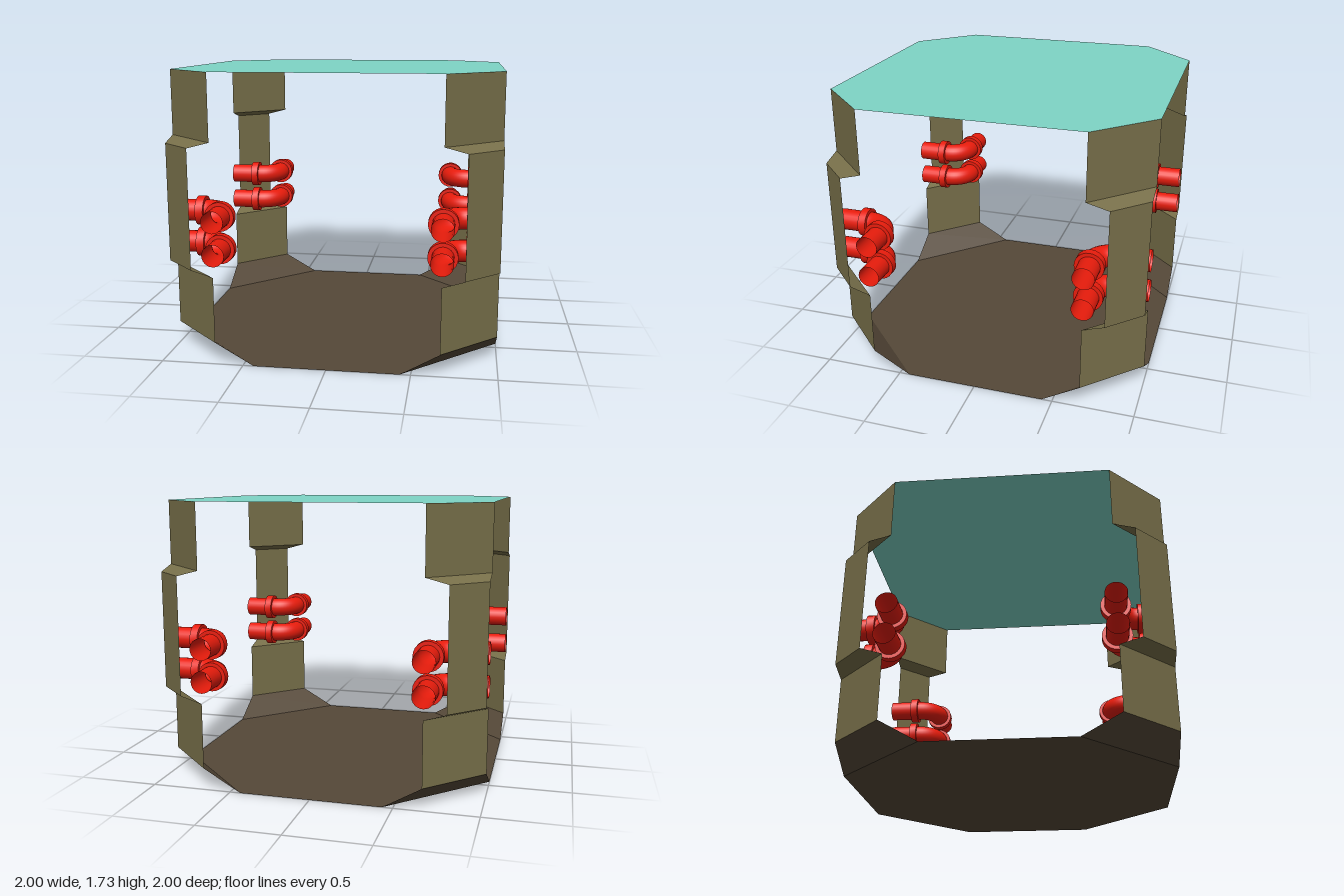
import * as THREE from 'three';
import { toCreasedNormals } from 'three/addons/utils/BufferGeometryUtils.js';

const paint = (color, flatShading = false) =>
  new THREE.MeshStandardMaterial({ color, flatShading, side: THREE.DoubleSide });

const mesh = (name, geometry, material) => {
  const m = new THREE.Mesh(geometry, material);
  m.name = name;
  return m;
};

// Flat 2 x 2 plate whose corners are cut off at c
function octagon(c, y) {
  const points = [[1, -c], [1, c], [c, 1], [-c, 1], [-c, -1], [-1, -c]];
  points.splice(4, 2, [-1, c], [-1, -c], [-c, -1], [c, -1]);
  const shape = new THREE.Shape(points.map(([x, z]) => new THREE.Vector2(x, z)));
  return new THREE.ShapeGeometry(shape).rotateX(-Math.PI / 2).translate(0, y, 0);
}

// Thin panel across a corner; each profile row is [corner cut, height]
function cornerStrip(profile) {
  const positions = [];
  for (let i = 0; i + 1 < profile.length; i++) {
    const [c0, y0] = profile[i], [c1, y1] = profile[i + 1];
    const a = [c0, y0, 1], b = [1, y0, c0], c = [1, y1, c1], d = [c1, y1, 1];
    positions.push(...a, ...b, ...c, ...a, ...c, ...d);
  }
  const g = new THREE.BufferGeometry();
  g.setAttribute('position', new THREE.Float32BufferAttribute(positions, 3));
  g.computeVertexNormals();
  return g;
}

// Bent pipe with a flange and an open straight end on both sides
function elbowPipe(material) {
  const pipe = new THREE.Group();
  pipe.name = 'elbowPipe';
  const axis = 0.667, start = 0.8, radius = 0.067, bendRadius = start - axis;

  const bend = new THREE.TorusGeometry(bendRadius, radius, 24, 14, Math.PI / 2)
    .rotateZ(Math.PI).rotateX(Math.PI / 2).translate(start, 0, start);
  pipe.add(mesh('pipeBend', bend, material));

  const tube = new THREE.CylinderGeometry(radius, radius, 1 - start, 24, 1, true)
    .translate(0, (1 - start) / 2, 0);
  const ring = [[radius, 0], [0.09, 0], [0.09, 0.05], [radius, 0.05]]
    .map(([r, y]) => new THREE.Vector2(r, y));
  const flange = toCreasedNormals(new THREE.LatheGeometry(ring, 24), 0.7);

  for (const alongX of [false, true]) {
    const end = new THREE.Group();
    end.name = 'pipeEnd';
    end.add(mesh('pipeTube', tube, material), mesh('pipeFlange', flange, material));
    if (alongX) {
      end.rotation.z = -Math.PI / 2;
      end.position.set(start, 0, axis);
    } else {
      end.rotation.x = Math.PI / 2;
      end.position.set(axis, 0, start);
    }
    pipe.add(end);
  }
  return pipe;
}

export function createModel() {
  const model = new THREE.Group();
  model.name = 'octagonalRoom';
  const olive = paint(0x78704a, true);
  const brown = paint(0x554838, true);
  const teal = paint(0x7ed4c5, true);
  const red = paint(0xe81c0c);

  // Floor and roof plates
  model.add(mesh('floor', octagon(0.435, 0), brown));
  model.add(mesh('roof', octagon(0.667, 1.733), teal));

  // Corner post, recessed outward in the middle, over a sloped skirt
  const post = cornerStrip([
    [0.667, 0.133], [0.667, 0.535], [0.8, 0.575],
    [0.8, 1.3], [0.667, 1.335], [0.667, 1.733],
  ]);
  const skirt = cornerStrip([[0.435, 0], [0.667, 0.133]]);

  // Four identical corners, each with two stacked pipes
  for (let i = 0; i < 4; i++) {
    const corner = new THREE.Group();
    corner.name = 'corner';
    corner.add(mesh('cornerPost', post, olive), mesh('floorSkirt', skirt, brown));
    for (const y of [0.667, 0.867]) {
      const pipe = elbowPipe(red);
      pipe.position.y = y;
      corner.add(pipe);
    }
    corner.rotation.y = i * Math.PI / 2;
    model.add(corner);
  }
  return model;
}
